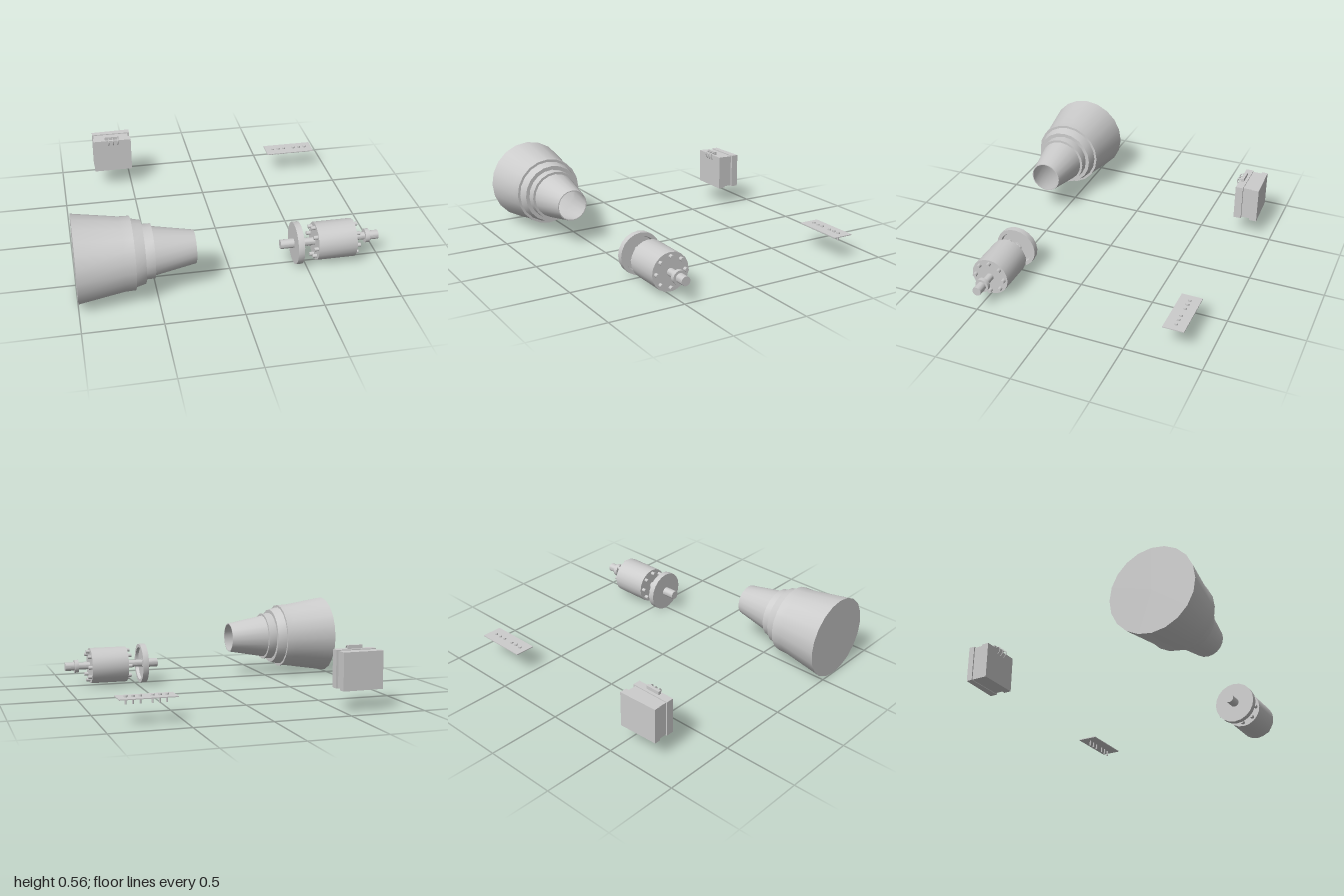
import * as THREE from 'three';
import { toCreasedNormals } from 'three/addons/utils/BufferGeometryUtils.js';

const material = new THREE.MeshStandardMaterial({ color: 0xcccccc, side: THREE.DoubleSide });

function addMesh(parent, name, geometry, x = 0, y = 0, z = 0) {
  const mesh = new THREE.Mesh(geometry, material);
  mesh.name = name;
  mesh.position.set(x, y, z);
  parent.add(mesh);
  return mesh;
}

// Box given by its extents on each axis
function addBox(parent, name, [x0, x1], [y0, y1], [z0, z1]) {
  return addMesh(parent, name, new THREE.BoxGeometry(x1 - x0, y1 - y0, z1 - z0),
    (x0 + x1) / 2, (y0 + y1) / 2, (z0 + z1) / 2);
}

// Solid of revolution about the x axis from [x, radius] pairs
function turned(profile, sides = 20) {
  const lathe = new THREE.LatheGeometry(profile.map(([x, r]) => new THREE.Vector2(r, x)), sides);
  lathe.rotateZ(-Math.PI / 2);
  return toCreasedNormals(lathe, 0.5);
}

// Stepped cone housing: closed at the wide end, open at the narrow end
function createHousing() {
  const group = new THREE.Group();
  group.name = 'housing';
  group.position.set(0, 0.281, 0.616);
  addMesh(group, 'housingShell', turned([
    [-1, 0], [-1, 0.28], [-0.71, 0.234], [-0.64, 0.232], [-0.64, 0.215],
    [-0.575, 0.199], [-0.575, 0.173], [-0.515, 0.172], [-0.515, 0.155],
    [-0.25, 0.106], [-0.25, 0.1], [-0.515, 0.147], [-0.64, 0.2], [-0.99, 0.27], [-0.99, 0],
  ]));
  return group;
}

// Rotor: shaft, recessed flange, drum with bolt circles and end collar
function createRotor() {
  const group = new THREE.Group();
  group.name = 'rotor';
  group.position.set(0, 0.142, 0.492);
  addMesh(group, 'leftShaft', turned([[0.337, 0], [0.337, 0.031], [0.45, 0.031], [0.45, 0]]));
  addMesh(group, 'flange', turned([
    [0.427, 0], [0.427, 0.14], [0.468, 0.14], [0.468, 0.115], [0.448, 0.11], [0.448, 0],
  ]));
  addMesh(group, 'middleShaft', turned([[0.44, 0], [0.44, 0.025], [0.92, 0.025], [0.92, 0]]));
  addMesh(group, 'drum', turned([[0.568, 0], [0.568, 0.126], [0.825, 0.126], [0.825, 0]]));
  addMesh(group, 'collar', turned([[0.908, 0], [0.908, 0.046], [0.935, 0.046], [0.935, 0]]));
  addMesh(group, 'rightShaft', turned([[0.93, 0], [0.93, 0.03], [1, 0.03], [1, 0]]));

  const bolt = new THREE.CylinderGeometry(0.013, 0.013, 0.03, 12).rotateZ(Math.PI / 2);
  for (const x of [0.555, 0.836]) {
    for (let i = 0; i < 8; i++) {
      const a = (i * Math.PI) / 4;
      addMesh(group, 'bolt', bolt, x, Math.cos(a) * 0.1, Math.sin(a) * 0.1);
    }
  }
  return group;
}

// Block of three slabs with a small wired connector on top
function createBlock() {
  const group = new THREE.Group();
  group.name = 'block';
  addBox(group, 'frontSlab', [-0.765, -0.492], [0.132, 0.375], [-0.785, -0.733]);
  addBox(group, 'core', [-0.757, -0.507], [0.137, 0.369], [-0.855, -0.78]);

  // Back slab, slightly thicker toward +x
  const outline = new THREE.Shape([
    new THREE.Vector2(-0.765, 0.847), new THREE.Vector2(-0.492, 0.847),
    new THREE.Vector2(-0.492, 0.897), new THREE.Vector2(-0.765, 0.887),
  ]);
  const slab = new THREE.ExtrudeGeometry(outline, { depth: 0.243, bevelEnabled: false });
  addMesh(group, 'backSlab', slab.rotateX(-Math.PI / 2), 0, 0.132, 0);

  addBox(group, 'connector', [-0.68, -0.58], [0.37, 0.398], [-0.765, -0.746]);
  const path = new THREE.CatmullRomCurve3([
    [0.388, -0.75], [0.392, -0.733], [0.38, -0.719], [0.358, -0.72], [0.34, -0.732],
  ].map(([y, z]) => new THREE.Vector3(0, y, z)));
  const wire = new THREE.TubeGeometry(path, 16, 0.004, 8);
  for (const x of [-0.655, -0.622, -0.589]) addMesh(group, 'wire', wire, x);
  return group;
}

// Thin plate with two rows of three studs on short pins
function createPlate() {
  const group = new THREE.Group();
  group.name = 'terminalPlate';
  addBox(group, 'plate', [0.541, 0.898], [0.153, 0.159], [-0.845, -0.707]);
  const stud = new THREE.CylinderGeometry(0.011, 0.012, 0.014, 12);
  const pin = new THREE.CylinderGeometry(0.006, 0.006, 0.045, 8);
  for (const x of [0.594, 0.638, 0.682, 0.757, 0.801, 0.845]) {
    addMesh(group, 'stud', stud, x, 0.163, -0.777);
    addMesh(group, 'pin', pin, x, 0.137, -0.777);
  }
  return group;
}

export function createModel() {
  const model = new THREE.Group();
  model.name = 'machineParts';
  model.add(createHousing(), createRotor(), createBlock(), createPlate());
  return model;
}
